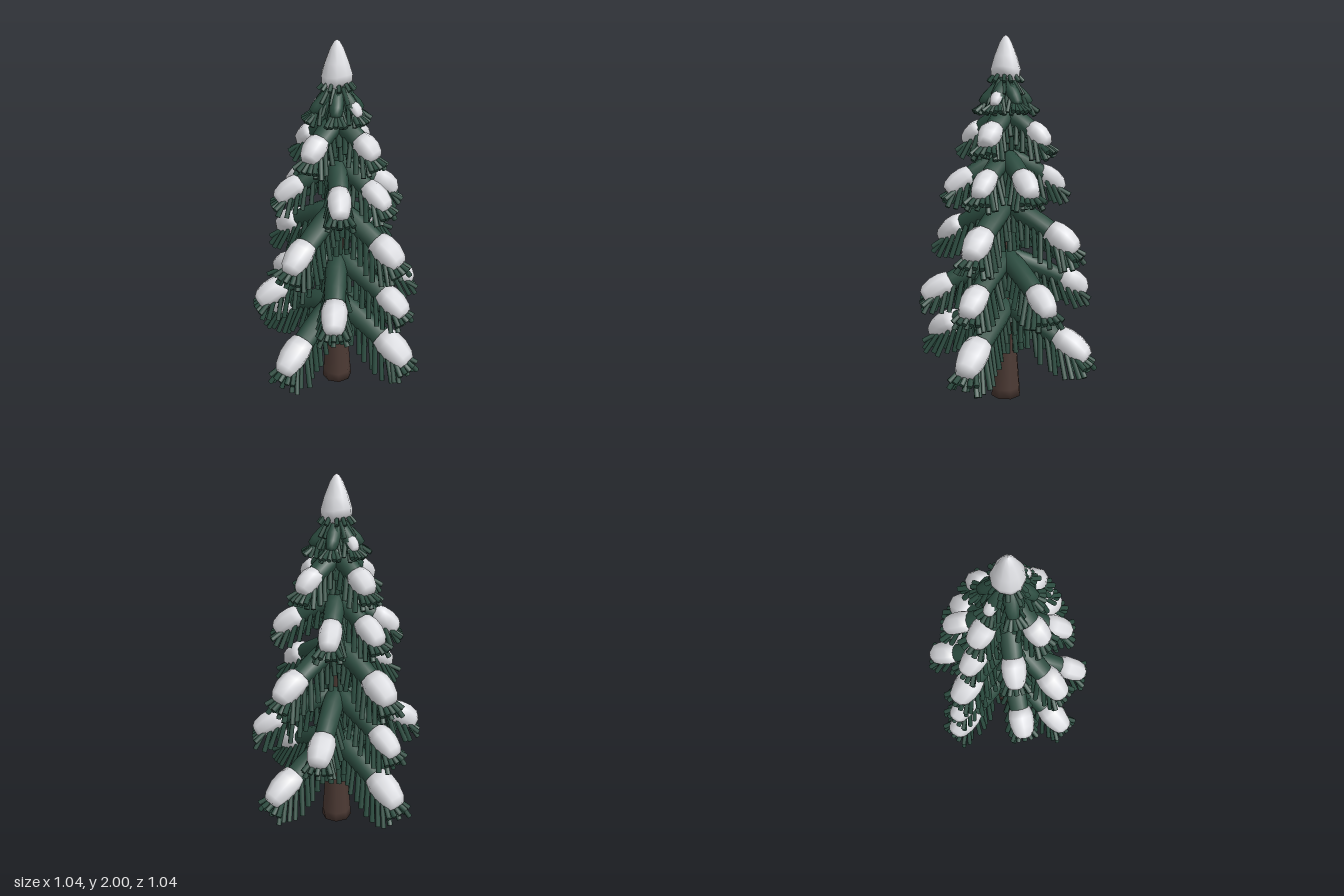
import * as THREE from 'three';
import { mergeGeometries } from 'three/addons/utils/BufferGeometryUtils.js';

const bark = new THREE.MeshStandardMaterial({ color: 0x4b3933 });
bark.name = 'bark brown';
const green = new THREE.MeshStandardMaterial({ color: 0x2b4b3f });
green.name = 'fir green';
const white = new THREE.MeshStandardMaterial({ color: 0xdcdde1 });
white.name = 'snow white';

// Small seeded generator for natural variation
let seed = 7;
const jitter = (amount) => {
  seed = (seed * 16807) % 2147483647;
  return (seed / 2147483647 - 0.5) * 2 * amount;
};

// Slightly drooping centreline, in the xy plane
const droop = (y0, y1, length) => new THREE.QuadraticBezierCurve3(
  new THREE.Vector3(0, y0, 0),
  new THREE.Vector3(length * 0.54, y0 - (y0 - y1) * 0.4, 0),
  new THREE.Vector3(length, y1, 0));

// Closed body of oval rings along a curve; each ring is [t, width, height, lift]
function sweep(curve, rings, sides) {
  const positions = [], index = [];
  for (const [t, w, h, lift = 0] of rings) {
    const p = curve.getPoint(Math.min(t, 1));
    const d = curve.getTangent(Math.min(t, 1));
    if (t > 1) p.addScaledVector(d, (t - 1) * curve.v2.x);
    for (let k = 0; k < sides; k++) {
      const a = (k / sides) * Math.PI * 2;
      const up = Math.sin(a) * h + lift;
      positions.push(p.x - d.y * up, p.y + d.x * up, Math.cos(a) * w);
    }
  }
  for (let i = 0; i < rings.length - 1; i++) {
    for (let k = 0; k < sides; k++) {
      const a = i * sides + k, b = i * sides + (k + 1) % sides;
      index.push(a, a + sides, b, b, a + sides, b + sides);
    }
  }
  const g = new THREE.BufferGeometry();
  g.setAttribute('position', new THREE.Float32BufferAttribute(positions, 3));
  g.setIndex(index);
  g.computeVertexNormals();
  return g;
}

// One stubby needle from a root point along a direction
function needle(root, dir, length, radius) {
  const g = new THREE.CylinderGeometry(radius, radius * 0.9, length, 6);
  g.translate(0, length / 2, 0);
  g.applyQuaternion(new THREE.Quaternion().setFromUnitVectors(
    new THREE.Vector3(0, 1, 0), dir.clone().normalize()));
  return g.translate(root.x, root.y, root.z);
}

// Ring of needles hanging around the trunk
function needleRing(y, r, n, length, radius, splay) {
  const list = [];
  for (let i = 0; i < n; i++) {
    const a = ((i + 0.5) / n) * Math.PI * 2 + jitter(0.1);
    const out = new THREE.Vector3(Math.cos(a), 0, Math.sin(a));
    const root = out.clone().multiplyScalar(r).setY(y);
    list.push(needle(root, out.multiplyScalar(splay + jitter(0.12)).setY(-1), length, radius));
  }
  return mergeGeometries(list);
}

// Needles hanging in two side rows and a middle row, with a fan at the tip
function branchNeedles(curve, tier) {
  const list = [], { w, count, hang } = tier;
  const radius = 0.009 + w * 0.1;
  for (const side of [-1, 0, 1]) {
    const n = side ? count : Math.ceil(count * 0.7);
    for (let i = 0; i < n; i++) {
      const t = 0.1 + 0.88 * (i + 0.5) / n;
      const root = curve.getPoint(t);
      root.z = side * w * 0.72;
      root.y -= w * 0.3;
      const dir = new THREE.Vector3(0.12 + 0.5 * t ** 3 + jitter(0.08), -1 + 0.15 * t * t,
        side * (0.16 + 0.2 * t) + jitter(0.07));
      const length = (0.09 + 0.1 * Math.sin(Math.PI * t ** 1.4)) * hang * (side ? 1 : 0.9) + jitter(0.01);
      list.push(needle(root, dir, length, radius));
    }
  }
  const tip = curve.getPoint(0.9);
  for (let i = -2; i <= 2; i++) {
    const root = new THREE.Vector3(tip.x, tip.y - w * 0.35, i * w * 0.33);
    const dir = new THREE.Vector3(1, -0.7 + jitter(0.12), i * 0.3);
    list.push(needle(root, dir, 0.035 + 0.065 * hang, radius));
  }
  return mergeGeometries(list);
}

function addMesh(parent, name, geometry, material) {
  const mesh = new THREE.Mesh(geometry, material);
  mesh.name = name;
  parent.add(mesh);
  return mesh;
}

const four = [0, 90, 180, 270];
const six = (a) => [0, a, 180 - a, 180, 180 + a, 360 - a];

// Tiers from the ground up: centreline heights, reach, half width, snow start and size
const tiers = [
  { y0: 0.54, y1: 0.303, length: 0.472, w: 0.058, count: 11, hang: 1.0, snow: 0.63, size: 0.079, angles: four },
  { y0: 0.82, y1: 0.605, length: 0.443, w: 0.053, count: 9, hang: 0.84, snow: 0.67, size: 0.07, angles: six(55) },
  { y0: 1.11, y1: 0.888, length: 0.398, w: 0.055, count: 9, hang: 0.95, snow: 0.63, size: 0.075, angles: four },
  { y0: 1.375, y1: 1.188, length: 0.313, w: 0.048, count: 7, hang: 0.74, snow: 0.58, size: 0.063, angles: six(50) },
  { y0: 1.6, y1: 1.437, length: 0.235, w: 0.05, count: 6, hang: 0.72, snow: 0.56, size: 0.064, angles: four },
  { y0: 1.76, y1: 1.637, length: 0.135, w: 0.034, count: 4, hang: 0.45, snow: 0.62, size: 0.032, angles: six(55) },
];

function makeBranch(tier, hasSnow) {
  const { y0, y1, length, w, snow, size } = tier;
  const branch = new THREE.Group();
  branch.name = 'branch';
  const curve = droop(y0, y1, length);
  addMesh(branch, 'limb', sweep(curve, [
    [0, 0, 0], [0.01, w, w], [0.25, w * 1.15, w * 1.05], [0.5, w * 1.1, w],
    [0.75, w, w * 0.95], [0.93, w * 0.8, w * 0.75], [0.97, 0, 0],
  ], 10), green);
  addMesh(branch, 'needles', branchNeedles(curve, tier), green);
  if (hasSnow) {
    const s = size * (1 + jitter(0.05)), at = (f) => snow + (1.04 - snow) * f;
    addMesh(branch, 'snow', sweep(curve, [
      [at(0), 0, 0], [at(0.01), s * 0.84, s * 0.78, 0.006], [at(0.25), s, s * 0.92, 0.008],
      [at(0.55), s * 0.98, s * 0.94, 0.008], [at(0.84), s * 0.8, s * 0.8, 0.004],
      [at(0.98), s * 0.6, s * 0.58], [at(1), 0, 0],
    ], 8), white);
  }
  return branch;
}

export function createModel() {
  const tree = new THREE.Group();
  tree.name = 'snowyFirTree';

  // Flared trunk
  const trunkProfile = [[0, 0], [0.087, 0], [0.083, 0.05], [0.07, 0.22], [0.058, 0.4],
    [0.042, 0.65], [0.032, 1.2], [0.025, 1.8], [0, 1.82]];
  addMesh(tree, 'trunk', new THREE.LatheGeometry(
    trunkProfile.map(([r, y]) => new THREE.Vector2(r, y)), 8), bark);

  // Branch tiers, each around a small green hub with long needles over the trunk
  tiers.forEach((tier, i) => {
    const group = new THREE.Group();
    group.name = 'tier' + (i + 1);
    for (const angle of tier.angles) {
      const branch = makeBranch(tier, i < 5 || angle % 180 === 0);
      branch.rotation.y = -THREE.MathUtils.degToRad(angle);
      group.add(branch);
    }
    const { y0, w, hang } = tier;
    addMesh(group, 'hub', new THREE.CylinderGeometry(w * 0.6, w * 1.5, w * 2.4, 10)
      .translate(0, y0 - w * 0.3, 0), green);
    addMesh(group, 'hubNeedles',
      needleRing(y0 - w * 1.1, w * 1.15, 16, 0.2 * hang, 0.01 + w * 0.1, 0.1), green);
    tree.add(group);
  });

  // Crown: green core with rings of short needles
  addMesh(tree, 'crownCore', new THREE.CylinderGeometry(0.045, 0.07, 0.18, 10).translate(0, 1.73, 0), green);
  addMesh(tree, 'crownNeedles', mergeGeometries([
    needleRing(1.815, 0.045, 12, 0.075, 0.0115, 0.9),
    needleRing(1.77, 0.05, 12, 0.09, 0.0115, 0.65),
    needleRing(1.71, 0.058, 12, 0.09, 0.0115, 0.55),
  ]), green);

  // Snow cap with a gently uneven lower edge
  const capProfile = [[0, 1.77], [0.055, 1.77], [0.078, 1.795], [0.08, 1.83], [0.062, 1.89],
    [0.034, 1.96], [0.015, 1.99], [0, 2]];
  const cap = new THREE.LatheGeometry(capProfile.map(([r, y]) => new THREE.Vector2(r, y)), 10);
  const p = cap.attributes.position;
  for (let i = 0; i < p.count; i++) {
    const low = Math.max(0, (1.9 - p.getY(i)) / 0.12);
    const a = Math.atan2(p.getZ(i), p.getX(i));
    p.setX(i, p.getX(i) * 1.04);
    p.setY(i, p.getY(i) + 0.014 * low * Math.cos(2 * a));
  }
  addMesh(tree, 'snowCap', cap, white);

  return tree;
}
